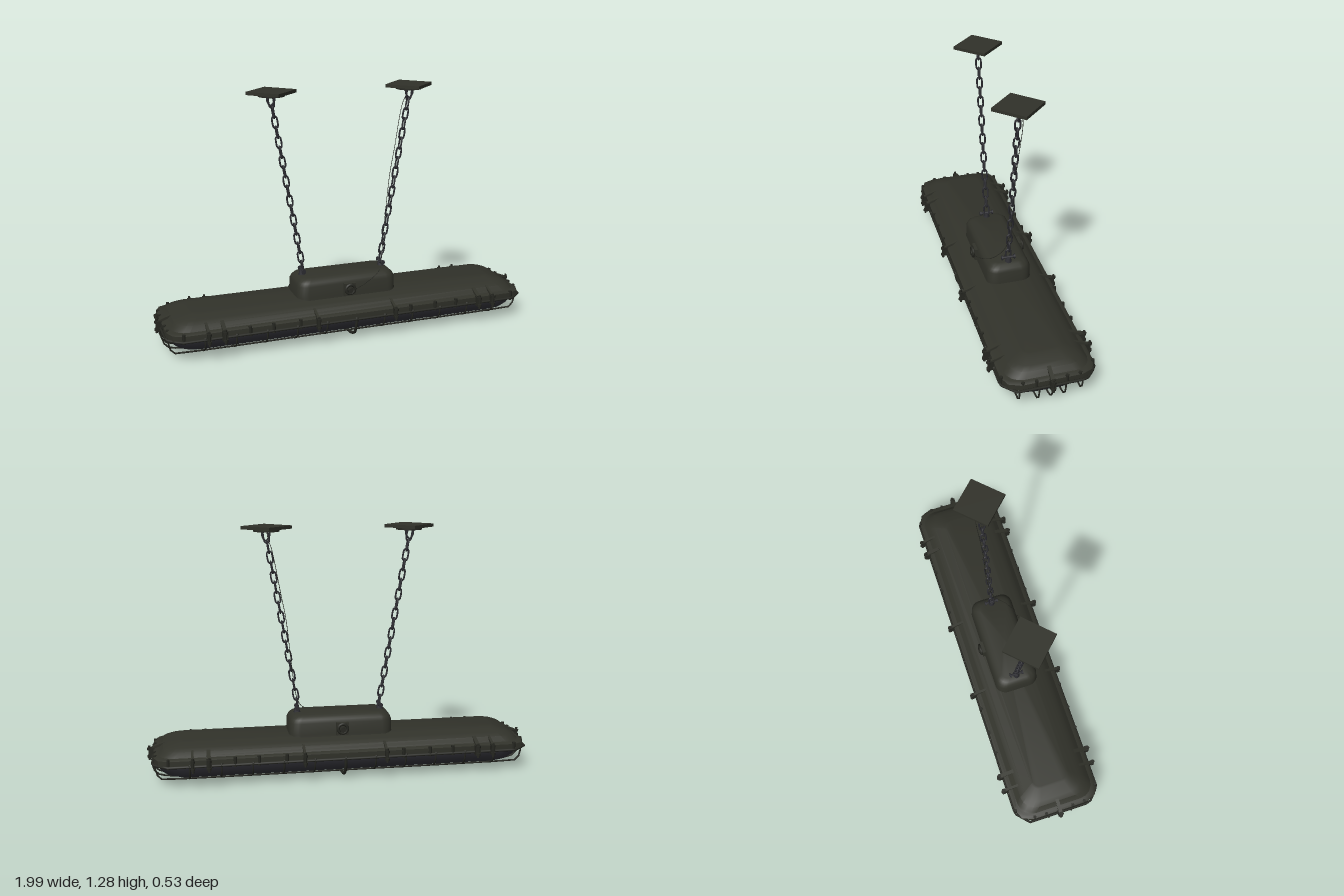
import * as THREE from 'three';
import { toCreasedNormals } from 'three/addons/utils/BufferGeometryUtils.js';

const mat = (name, color, side = THREE.FrontSide) => {
  const m = new THREE.MeshStandardMaterial({ color, side });
  m.name = name;
  return m;
};
const V = (x, y, z) => new THREE.Vector3(x, y, z);

// Rounded-rectangle rings [halfX, halfZ, y, cornerRadius], listed bottom to top and capped
function loft(levels, seg, crease = 0.6) {
  const pos = [], idx = [], n = 4 * (seg + 1);
  for (const [hx, hz, y, r] of levels) {
    for (let c = 0; c < 4; c++) {
      const sx = c === 0 || c === 3 ? 1 : -1, sz = c < 2 ? 1 : -1;
      for (let k = 0; k <= seg; k++) {
        const a = (c + k / seg) * Math.PI / 2;
        pos.push(sx * (hx - r) + r * Math.cos(a), y, sz * (hz - r) + r * Math.sin(a));
      }
    }
  }
  const last = levels.length - 1, base = (last + 1) * n;
  pos.push(0, levels[0][2], 0, 0, levels[last][2], 0);
  for (let j = 0; j < n; j++) {
    const k = (j + 1) % n;
    for (let i = 0; i < last; i++) {
      const a = i * n + j, b = i * n + k;
      idx.push(a, a + n, b, b, a + n, b + n);
    }
    idx.push(base, j, k, base + 1, last * n + k, last * n + j);
  }
  const g = new THREE.BufferGeometry();
  g.setAttribute('position', new THREE.Float32BufferAttribute(pos, 3));
  g.setIndex(idx);
  return toCreasedNormals(g, crease);
}

function tube(points, radius, steps = 32, closed = false, sides = 6) {
  const curve = new THREE.CatmullRomCurve3(points, closed, 'centripetal');
  return new THREE.TubeGeometry(curve, steps, radius, sides, closed);
}

export function createModel() {
  const olive = mat('olive paint', 0x31322a);
  const glass = mat('smoked glass', 0x38383f);
  const steel = mat('chain steel', 0x2d2d32);
  const dark = mat('dark cage metal', 0x272822);
  const root = new THREE.Group();
  root.name = 'hangingLamp';

  const add = (name, geo, material, p = [0, 0, 0], r = [0, 0, 0], parent = root) => {
    const m = new THREE.Mesh(geo, material);
    m.name = name;
    m.position.set(...p);
    m.rotation.set(...r);
    parent.add(m);
    return m;
  };

  // Housing: chamfered rim, sloping shell and raised wiring box
  add('housingRim', loft([
    [0.945, 0.218, 0.12, 0.08], [0.963, 0.23, 0.127, 0.08],
    [0.963, 0.23, 0.158, 0.08], [0.95, 0.218, 0.166, 0.08],
  ], 2), olive);
  add('housingShell', loft([
    [0.945, 0.213, 0.16, 0.08], [0.93, 0.2, 0.172, 0.08], [0.915, 0.182, 0.19, 0.08],
    [0.89, 0.155, 0.203, 0.07], [0.83, 0.105, 0.219, 0.04], [0.82, 0.095, 0.221, 0.035],
  ], 4, 0.35), olive);
  add('wiringBox', loft([
    [0.275, 0.122, 0.195, 0.06], [0.27, 0.116, 0.225, 0.055], [0.268, 0.115, 0.285, 0.055],
    [0.26, 0.107, 0.303, 0.052], [0.245, 0.093, 0.317, 0.045], [0.225, 0.075, 0.323, 0.035],
  ], 6, 0.7), olive);

  // Glass bowl below the rim
  add('glassBowl', loft([
    [0.85, 0.1, 0.036, 0.08], [0.885, 0.14, 0.043, 0.1], [0.915, 0.175, 0.06, 0.11],
    [0.935, 0.198, 0.085, 0.11], [0.945, 0.213, 0.125, 0.1],
  ], 5, 1), glass);

  // Wire cage
  const cage = new THREE.Group();
  cage.name = 'wireCage';
  root.add(cage);
  const rib = (b, w) => [[w, 0.13], [w - 0.006, 0.09], [w - 0.032, b + 0.03],
    [w - 0.085, b + 0.008], [0, b]];
  const arch = half => [...half, ...half.slice(0, -1).reverse().map(([u, y]) => [-u, y])];
  for (let i = -5; i <= 5; i++) {
    const pts = arch(rib(i ? 0.031 : 0.016, i ? 0.228 : 0.232));
    add('crossRib', tube(pts.map(([z, y]) => V(i * 0.157, y, z)), i ? 0.0045 : 0.008), dark, [0, 0, 0], [0, 0, 0], cage);
    for (const s of [-1, 1]) {
      add('ribFoot', new THREE.SphereGeometry(0.009, 8, 6), dark, [i * 0.157, 0.132, s * 0.231], [0, 0, 0], cage);
    }
  }
  for (const z of [-0.155, -0.065, 0, 0.065, 0.155]) {
    const e = Math.abs(z) > 0.1 ? 0.955 : 0.972, y = 0.031 + z * z * 0.5;
    const pts = arch([[e, 0.13], [e - 0.004, 0.08], [e - 0.025, 0.048], [e - 0.065, y + 0.002], [0, y]]);
    add('longWire', tube(pts.map(([x, h]) => V(x, h, z)), 0.0045, 64), dark, [0, 0, 0], [0, 0, 0], cage);
  }
  const loop = [];
  for (const [sx, sz] of [[1, 1], [-1, 1], [-1, -1], [1, -1]]) {
    const a = V(sx * 0.968, 0.128, sz * 0.17), b = V(sx * 0.9, 0.128, sz * 0.233);
    loop.push(...(sx * sz > 0 ? [a, b] : [b, a]));
  }
  const loopPath = new THREE.CurvePath();
  loop.forEach((p, i) => loopPath.add(new THREE.LineCurve3(p, loop[(i + 1) % 8])));
  add('cageRim', new THREE.TubeGeometry(loopPath, 160, 0.007, 6, true), dark, [0, 0, 0], [0, 0, 0], cage);

  // Clamp latches; local +z points away from the housing
  const latch = (x, z, turn, big) => {
    const g = new THREE.Group();
    g.name = 'latch';
    g.position.set(x, 0, z);
    g.rotation.y = turn;
    root.add(g);
    const w = big ? 0.026 : 0.017;
    add('latchBody', new THREE.BoxGeometry(w, 0.05, 0.028), dark, [0, 0.14, 0.01], [0, 0, 0], g);
    add('latchBolt', new THREE.CylinderGeometry(0.006, 0.006, 0.075, 8), dark, [0, 0.139, 0.023], [0, 0, 0], g);
    for (const y of [0.12, 0.16]) {
      add('latchNut', new THREE.CylinderGeometry(0.012, 0.012, 0.012, 6), dark, [0, y, 0.023], [0, 0, 0], g);
    }
    add('latchLever', new THREE.BoxGeometry(w * 0.75, 0.012, 0.075), olive, [0, 0.177, -0.025], [0.35, 0, 0], g);
  };
  for (const x of [-0.77, -0.69, -0.21, 0.21, 0.69, 0.77]) {
    const big = Math.abs(x) === 0.69;
    latch(x, 0.231, 0, big);
    latch(x, -0.231, Math.PI, big);
  }
  latch(0.962, 0, Math.PI / 2, true);
  latch(-0.962, 0, -Math.PI / 2, true);

  // Corner and rim bolts
  for (const sx of [-1, 1]) for (const sz of [-1, 1]) {
    for (const [x, z] of [[0.89, 0.226], [0.56, 0.23], [0.44, 0.23], [0.3, 0.23], [0.955, 0.14], [0.958, 0.075]]) {
      add('rimBolt', new THREE.CylinderGeometry(0.009, 0.009, 0.05, 6), dark, [sx * x, 0.143, sz * z]);
    }
  }

  // Cable glands on both faces of the wiring box
  for (const s of [-1, 1]) {
    add('glandPlate', new THREE.BoxGeometry(0.065, 0.065, 0.02), olive, [0, 0.255, s * 0.121]);
    add('glandRing', new THREE.TorusGeometry(0.024, 0.008, 8, 20), dark, [0, 0.257, s * 0.136]);
    add('glandNut', new THREE.CylinderGeometry(0.015, 0.015, 0.03, 6), dark, [0, 0.252, s * 0.132], [Math.PI / 2, 0, 0]);
  }

  // Chains, shackles and ceiling plates
  const linkPts = [];
  for (let k = 0; k < 12; k++) {
    const a = (k + 0.5) * Math.PI / 6;
    linkPts.push(V(0.0125 * Math.cos(a), 0.0125 * Math.sin(a) + (k < 6 ? 0.0185 : -0.0185), 0));
  }
  const linkGeo = tube(linkPts, 0.0047, 24, true);
  for (const s of [-1, 1]) {
    const chain = new THREE.Group();
    chain.name = 'chain';
    root.add(chain);
    const from = V(s * 0.218, 0.365, 0), to = V(s * 0.368, 1.235, 0);
    const tilt = -Math.atan2(to.x - from.x, to.y - from.y);
    for (let i = 0; i <= 17; i++) {
      const p = from.clone().lerp(to, i / 17);
      const holder = new THREE.Group();
      holder.name = 'linkHolder';
      holder.position.copy(p);
      holder.rotation.z = tilt;
      chain.add(holder);
      add('chainLink', linkGeo, steel, [0, 0, 0], [0, i % 2 ? 0 : Math.PI / 2, 0], holder);
    }
    add('boxLug', new THREE.CylinderGeometry(0.013, 0.02, 0.035, 10), steel, [s * 0.22, 0.328, 0]);
    add('shacklePin', new THREE.CylinderGeometry(0.006, 0.006, 0.07, 8), steel, [s * 0.22, 0.346, 0], [Math.PI / 2, 0, 0]);
    for (const z of [-0.033, 0.033]) {
      add('pinHead', new THREE.CylinderGeometry(0.012, 0.012, 0.008, 8), steel, [s * 0.22, 0.346, z], [Math.PI / 2, 0, 0]);
    }
    add('ceilingHook', tube([V(s * 0.348, 1.268, 0), V(s * 0.353, 1.235, 0), V(s * 0.37, 1.216, 0),
      V(s * 0.386, 1.235, 0), V(s * 0.39, 1.268, 0)], 0.005, 16), steel);
    add('ceilingDisc', new THREE.CylinderGeometry(0.067, 0.067, 0.014, 24), dark, [s * 0.366, 1.27, 0]);
    add('ceilingPlate', new THREE.BoxGeometry(0.183, 0.016, 0.183), olive, [s * 0.366, 1.283, 0], [0, Math.PI / 4, 0]);
  }

  // Thin supply cable from the gland up along one chain
  add('supplyCable', tube([V(0.01, 0.255, 0.15), V(0.09, 0.28, 0.128), V(0.18, 0.325, 0.085), V(0.22, 0.4, 0.02),
    V(0.25, 0.6, -0.012), V(0.275, 0.82, -0.016), V(0.3, 0.95, -0.02), V(0.345, 1.18, -0.03),
    V(0.36, 1.225, -0.02), V(0.365, 1.27, 0)], 0.0016, 60, false, 5), dark);
  return root;
}
